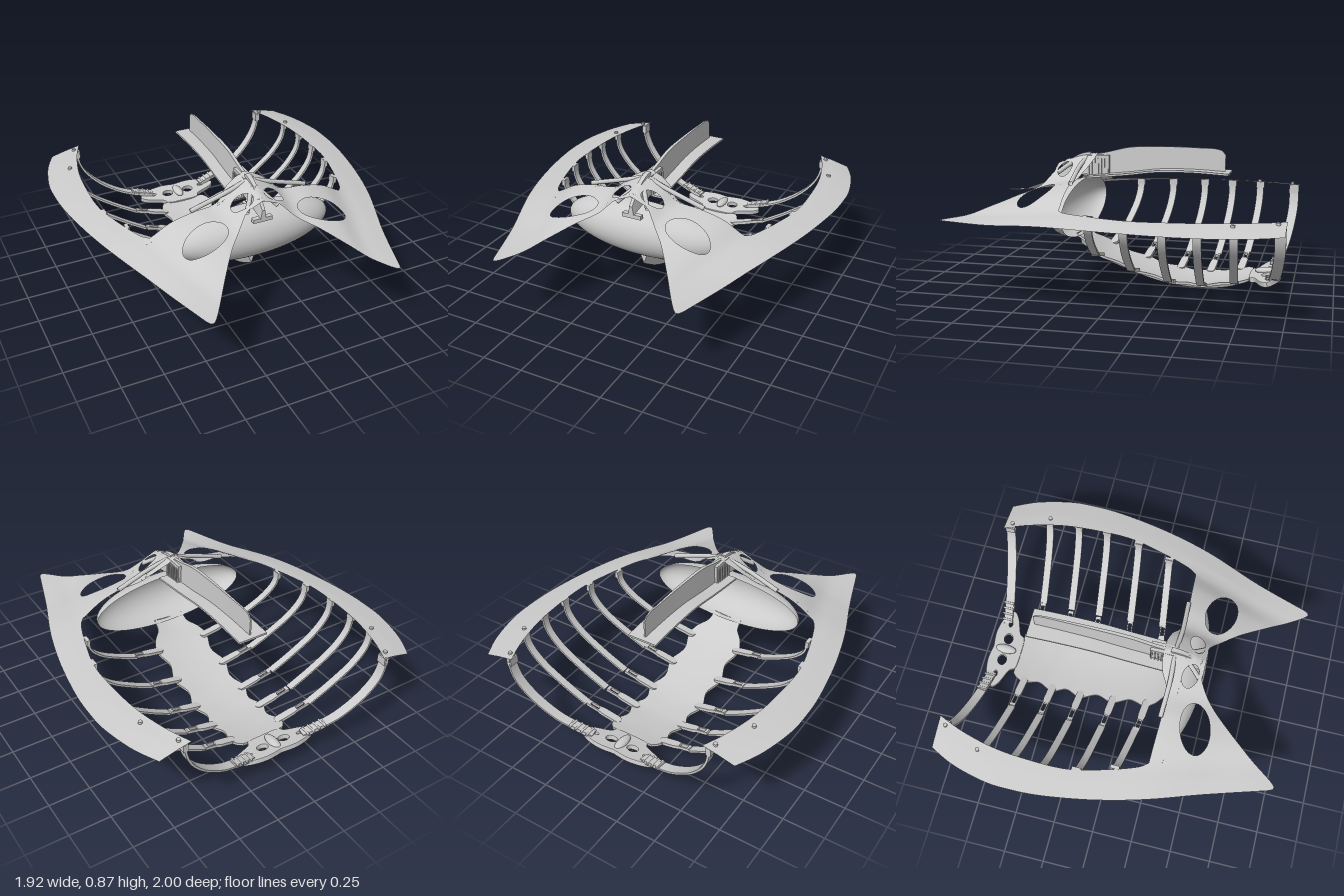
import * as THREE from 'three';
import { mergeVertices, toCreasedNormals } from 'three/addons/utils/BufferGeometryUtils.js';

const V = (x, y, z) => new THREE.Vector3(x, y, z);
const mat = new THREE.MeshStandardMaterial({ color: 0xcccccc, side: THREE.DoubleSide });

// smooth lookup through [position, value] pairs
function table(pairs) {
  const it = new THREE.CubicInterpolant(pairs.map(p => p[0]), pairs.map(p => p[1]), 1, [0]);
  return x => it.evaluate(x)[0];
}

// capped solid through closed rings of points
function loft(rings) {
  const pos = [], n = rings[0].length, last = rings[rings.length - 1];
  let vol = 0;
  const tri = (a, b, c) => {
    vol += a.dot(b.clone().cross(c));
    pos.push([a, b, c]);
  };
  for (let i = 0; i < rings.length - 1; i++)
    for (let j = 0; j < n; j++) {
      const k = (j + 1) % n, a = rings[i][j], b = rings[i][k], c = rings[i + 1][k], d = rings[i + 1][j];
      tri(a, b, c);
      tri(a, c, d);
    }
  for (let j = 1; j < n - 1; j++) {
    tri(rings[0][0], rings[0][j + 1], rings[0][j]);
    tri(last[0], last[j], last[j + 1]);
  }
  const pts = pos.flatMap(t => (vol < 0 ? [t[0], t[2], t[1]] : t));
  return toCreasedNormals(new THREE.BufferGeometry().setFromPoints(pts), 0.6);
}

// solid running along z, its section given by a function of z
function alongZ(z0, z1, steps, section) {
  return loft(Array.from({ length: steps + 1 }, (_, i) => {
    const z = z0 + (z1 - z0) * i / steps;
    return section(z).map(([x, y]) => V(x, y, z));
  }));
}

// flat strap following a path, its width lying along z
function strap(points, width, thick) {
  const curve = new THREE.CatmullRomCurve3(points), N = 28;
  return loft(Array.from({ length: N + 1 }, (_, i) => {
    const p = curve.getPoint(i / N), t = curve.getTangent(i / N);
    const n = V(-t.y, t.x, 0).normalize().multiplyScalar(thick / 2);
    return [[1, 1], [1, -1], [-1, -1], [-1, 1]].map(([a, b]) =>
      p.clone().addScaledVector(n, a).add(V(0, 0, b * width / 2)));
  }));
}

// split long edges at their middle so a flat shape can be bent
function refine(geo, max) {
  const src = geo.toNonIndexed().attributes.position, stack = [], out = [];
  for (let i = 0; i < src.count; i += 3)
    stack.push([0, 1, 2].map(k => new THREE.Vector3().fromBufferAttribute(src, i + k)));
  while (stack.length) {
    const t = stack.pop();
    const len = [0, 1, 2].map(k => t[k].distanceTo(t[(k + 1) % 3]));
    const k = len.indexOf(Math.max(...len));
    if (len[k] <= max) { out.push(...t); continue; }
    const a = t[k], b = t[(k + 1) % 3], c = t[(k + 2) % 3], m = a.clone().add(b).multiplyScalar(0.5);
    stack.push([a, m, c], [m, b, c]);
  }
  return mergeVertices(new THREE.BufferGeometry().setFromPoints(out), 1e-5);
}

// smooth run through [x, z] points, in shape coordinates (x, -z)
const run = pts => new THREE.SplineCurve(pts.map(([x, z]) => new THREE.Vector2(x, -z))).getPoints(pts.length * 4);
const mirrored = half => [...half, ...half.map(p => new THREE.Vector2(-p.x, p.y)).reverse()];
const ellipse = (x, z, rx, rz, rot = 0) =>
  new THREE.Path().absellipse(x, -z, rx, rz, 0, Math.PI * 2, false, rot);

// deck height: low outer edge, rising to the crest in the middle
const OUTER = [[-1, .83], [-.85, .9], [-.65, .95], [-.5, .96], [-.3, .95], [0, .9], [.3, .82], [.63, .7], [.97, .59]];
const outerX = table(OUTER);
const baseY = table([[-1, .525], [0, .523], [.3, .515], [.5, .498], [.65, .482], [1, .472]]);
const riseX = table([[0, 0], [.12, .025], [.25, .05], [.4, .12], [.57, .16], [.76, .18], [.855, .24], [1, .3]]);
const riseZ = table([[-1, 1], [0, 1], [.26, 1], [.47, .82], [.57, .7], [.78, .42], [1, .15]]);
const deckY = (x, z) => baseY(z) + riseX(Math.max(0, 1 - Math.abs(x) / outerX(z))) * riseZ(z);

const sternumY = table([[-.76, .1], [-.6, .07], [-.45, .058], [-.3, .07], [-.1, .12], [.14, .21], [.31, .315]]);
const sternumW = table([[-.76, .14], [-.74, .16], [-.68, .18], [-.585, .155], [-.49, .19], [-.4, .155], [-.3, .19],
  [-.19, .155], [-.08, .19], [.03, .155], [.14, .185], [.2, .16], [.25, .11], [.31, .1]]);

export function createModel() {
  const model = new THREE.Group();
  const add = (name, geo, parent = model) => {
    const m = new THREE.Mesh(geo, mat);
    m.name = name;
    parent.add(m);
    return m;
  };
  const box = (name, x, y, z, w, h, d, parent) => {
    const m = add(name, new THREE.BoxGeometry(w, h, d), parent);
    m.position.set(x, y, z);
    return m;
  };

  // deck: two long arms, pointed front wings and the raised bridge
  const deckShape = new THREE.Shape(mirrored([
    ...run([[0, .45], [.06, .45], [.12, .46], [.25, .58], [.4, .78], [.53, .97], [.57, 1], [.59, .97]]),
    ...run([...OUTER].reverse().map(([z, x]) => [x, z])).slice(1),
    ...run([[.64, -1], [.7, -.85], [.75, -.65], [.77, -.45], [.77, -.2], [.72, .02], [.66, .2], [.62, .26]]),
    ...run([[.5, .265], [.35, .27], [.2, .26], [.13, .22], [.06, .2]]),
  ]));
  for (const s of [-1, 1])
    deckShape.holes.push(ellipse(s * .37, .475, .145, .09, -s * .25), ellipse(s * .1, .38, .065, .045, s * .3));
  const deckGeo = refine(new THREE.ShapeGeometry(deckShape, 20), .035);
  const p = deckGeo.attributes.position;
  for (let i = 0; i < p.count; i++) {
    const x = p.getX(i), z = -p.getY(i);
    p.setXYZ(i, x, deckY(x, z), z);
  }
  deckGeo.computeVertexNormals();
  add('deck', deckGeo);

  // front bowl: open half dome under the bridge
  const bowl = new THREE.SphereGeometry(1, 56, 24, 0, Math.PI * 2, 0, Math.PI / 2);
  bowl.rotateX(Math.PI / 2).scale(.515, .17, .18).translate(0, .488, .28);
  add('frontBowl', bowl);

  // ridge beam: tall fin on a narrow flange
  const finTop = table([[-.6, .8], [-.585, .84], [-.55, .86], [-.45, .867], [-.2, .87], [0, .86], [.15, .825], [.3, .8]]);
  const flangeY = table([[-.62, .722], [-.4, .733], [-.2, .73], [0, .705], [.25, .68]]);
  add('ridgeFin', alongZ(-.59, .3, 40, z => {
    const w = .006 + .01 * Math.min(1, (z + .6) / .5);
    return [[-w, flangeY(z)], [w, flangeY(z)], [w * .6, finTop(z)], [-w * .6, finTop(z)]];
  }));
  add('ridgeFlange', alongZ(-.62, .25, 24, z => {
    const y = flangeY(z);
    return [[-.092, y - .006], [.092, y - .006], [.092, y + .006], [-.092, y + .006]];
  }));

  // ribbed clamp and nose spine at the crest
  box('crestClamp', 0, .745, .19, .06, .13, .14);
  for (let i = 0; i < 7; i++) box('clampRidge', 0, .735, .13 + i * .02, .076, .11, .008);
  add('noseSpine', alongZ(.24, .455, 14, z => {
    const t = (z - .24) / .215, top = .825 - .13 * t * t, w = .03 - .012 * t;
    return [[-w, .64 + .06 * (1 - t)], [w, .64 + .06 * (1 - t)], [w * .5, top], [-w * .5, top]];
  }));
  box('noseFoot', 0, .63, .435, .12, .025, .03);

  // sternum plate with scalloped sides, and the keel beneath
  add('sternum', alongZ(-.76, .31, 90, z => {
    const xs = [-1, -.5, 0, .5, 1], w = sternumW(z), y = sternumY(z);
    const edge = (d, k) => [k * w, y + d + .012 * k * k];
    return [...xs.map(k => edge(-.012, k)), ...xs.reverse().map(k => edge(.004, k))];
  }));
  const keelY = table([[-.76, .075], [-.65, .027], [-.45, .002], [-.2, .028], [0, .09], [.15, .15], [.31, .245]]);
  add('keel', alongZ(-.76, .31, 36, z => [[-.025, sternumY(z)], [.025, sternumY(z)], [0, keelY(z)]]));

  // slotted link, running along +x from its root
  const linkShape = new THREE.Shape();
  linkShape.moveTo(0, -.024).lineTo(.1, -.024).lineTo(.13, -.018).lineTo(.21, -.018)
    .lineTo(.21, .018).lineTo(.13, .018).lineTo(.1, .024).lineTo(0, .024)
    .absarc(0, 0, .024, Math.PI / 2, Math.PI * 1.5, false);
  linkShape.holes.push(new THREE.Path([[.13, -.01], [.19, -.01], [.19, .01], [.13, .01]].map(q => new THREE.Vector2(...q))));
  const linkGeo = new THREE.ExtrudeGeometry(linkShape, { depth: .02, bevelEnabled: false, curveSegments: 8 });
  linkGeo.rotateX(-Math.PI / 2);

  // ribs: z at the sternum, z at the deck, x at the deck
  const ribs = [[.14, .075, .69], [-.08, -.14, .755], [-.3, -.355, .785], [-.49, -.545, .79], [-.68, -.735, .775]];
  const bend = [[.3, .12], [.55, .3], [.83, .55], [.97, .78], [1, 1]];
  for (const s of [1, -1]) {
    const side = new THREE.Group();
    side.name = s > 0 ? 'leftSide' : 'rightSide';
    model.add(side);
    for (const [z0, z1, X] of ribs) {
      const y0 = sternumY(z0) + .01, top = deckY(X, z1) - .003;
      const path = bend.map(([k, m]) => V(s * (.2 + (X - .2) * k), y0 + (top - y0) * m, z0 + (z1 - z0) * k));
      add('rib', strap(path, .046, .013), side);
      const link = add('ribLink', linkGeo, side);
      const a = path[0], dx = Math.abs(a.x) - .17;
      link.position.set(s * .17, y0 - .008, z0);
      link.rotation.set(0, s > 0 ? .08 : Math.PI - .08, Math.atan2(a.y - y0, dx), 'YXZ');
      box('ribFoot', s * X, top - .02, z1, .022, .04, .055, side);
    }
    // rear rib with its hinge, foot and deck bolts
    add('rearRib', strap([V(s * .27, .155, -.9), V(s * .4, .2, -.925), V(s * .55, .3, -.95), V(s * .64, .41, -.965),
      V(s * .67, .5, -.967), V(s * .67, .56, -.967)], .06, .013), side);
    box('rearRibFoot', s * .67, .53, -.965, .03, .05, .06, side);
    const hinge = box('rearHinge', s * .25, .155, -.9, .15, .025, .055, side);
    hinge.rotation.set(0, s * .18, s * .25);
    for (let i = 0; i < 4; i++) {
      const pin = add('hingePin', new THREE.CylinderGeometry(.007, .007, .07, 10).rotateX(Math.PI / 2), side);
      pin.position.set(s * (.2 + i * .035), .152 + i * .009, -.895 - i * .006);
    }
    for (const [x, z] of [[.69, -.955], [.785, -.73]]) {
      const bolt = add('deckBolt', new THREE.CylinderGeometry(.012, .012, .016, 14), side);
      bolt.position.set(s * x, deckY(x, z) + .004, z);
    }
    // braces spreading from the crest over the bridge
    for (const end of [V(s * .1, .695, .44), V(s * .37, .683, .265)]) {
      const mid = V(end.x * .4, .755, .28 + (end.z - .28) * .5);
      add('crestBrace', new THREE.TubeGeometry(new THREE.CatmullRomCurve3([V(0, .8, .26), mid, end]), 16, .014, 8), side);
    }
  }

  // rear bracket joining the rear ribs to the sternum
  const bracket = new THREE.Shape(mirrored(run([[0, -.76], [.1, -.765], [.13, -.8], [.23, -.84], [.265, -.88],
    [.2, -.925], [.1, -.945], [0, -.935]])));
  for (const s of [-1, 1]) bracket.holes.push(ellipse(s * .075, -.86, .04, .032), ellipse(s * .18, -.875, .028, .016));
  const bracketGeo = new THREE.ExtrudeGeometry(bracket, { depth: .022, bevelEnabled: true, bevelSize: .005, bevelThickness: .005, bevelSegments: 2 });
  const b = add('rearBracket', bracketGeo.rotateX(-Math.PI / 2).translate(0, 0, .76));
  b.position.set(0, .088, -.76);
  b.rotation.x = .18;
  const boss = add('bracketBoss', new THREE.SphereGeometry(1, 20, 12).scale(.03, .022, .07));
  boss.position.set(0, .135, -.85);
  return model;
}
